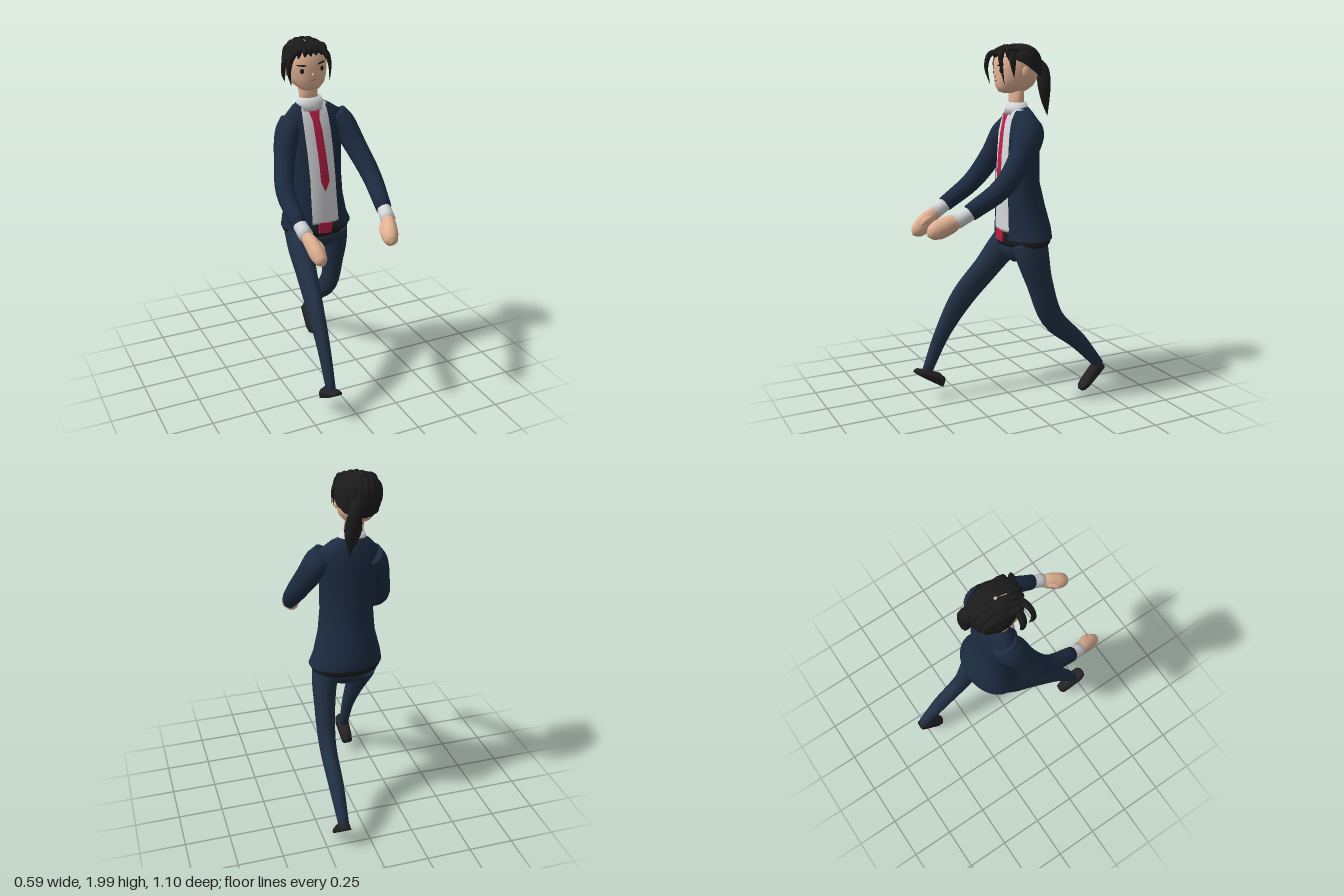
import * as THREE from 'three';

const V = (x, y, z) => new THREE.Vector3(x, y, z);
const paint = (name, color, side = THREE.FrontSide) => {
  const m = new THREE.MeshStandardMaterial({ color, side });
  m.name = name;
  return m;
};

// Skin a list of rings; closed rings also get end caps
function loft(rings, closed = true) {
  const n = rings[0].length, pos = [], idx = [];
  rings.forEach(r => r.forEach(p => pos.push(p.x, p.y, p.z)));
  for (let i = 0; i < rings.length - 1; i++) {
    for (let j = 0; j < (closed ? n : n - 1); j++) {
      const a = i * n + j, b = i * n + (j + 1) % n;
      idx.push(a, b, b + n, a, b + n, a + n);
    }
  }
  if (closed) {
    [0, rings.length - 1].forEach((k, end) => {
      const c = rings[k].reduce((s, p) => s.add(p), V(0, 0, 0)).divideScalar(n);
      const ci = pos.length / 3;
      pos.push(c.x, c.y, c.z);
      for (let j = 0; j < n; j++) {
        const a = k * n + j, b = k * n + (j + 1) % n;
        if (end) idx.push(a, b, ci); else idx.push(b, a, ci);
      }
    });
  }
  const g = new THREE.BufferGeometry();
  g.setAttribute('position', new THREE.Float32BufferAttribute(pos, 3));
  g.setIndex(idx);
  g.computeVertexNormals();
  return g;
}

// Horizontal ring from angle a0 to a1, angle 0 at the front; pw above 2 is boxier
function ring(y, cx, cz, hx, hz, n = 24, a0 = 0, a1 = Math.PI * 2, pw = 2) {
  const full = a1 - a0 > 6.28;
  return Array.from({ length: full ? n : n + 1 }, (_, i) => {
    const a = a0 + (a1 - a0) * i / n, s = Math.sin(a), c = Math.cos(a);
    const f = v => Math.sign(v) * Math.abs(v) ** (2 / pw);
    return V(cx + hx * f(s), y, cz + hz * f(c));
  });
}

// Smooth tapering limb through rows of [x, y, z, half width, half depth]
function limb(rows, n = 14) {
  const path = new THREE.CatmullRomCurve3(rows.map(r => V(r[0], r[1], r[2])));
  const size = new THREE.CatmullRomCurve3(rows.map(r => V(r[3], r[4], 0)));
  const steps = (rows.length - 1) * 4, rings = [];
  for (let i = 0; i <= steps; i++) {
    const t = i / steps, c = path.getPoint(t), s = size.getPoint(t), T = path.getTangent(t);
    const A = V(1, 0, 0).addScaledVector(T, -T.x).normalize(), B = T.clone().cross(A);
    rings.push(Array.from({ length: n }, (_, j) => {
      const a = j / n * Math.PI * 2;
      return c.clone().addScaledVector(A, Math.cos(a) * s.x).addScaledVector(B, Math.sin(a) * s.y);
    }));
  }
  return loft(rings);
}

// Torso rows: y, centre x, centre z, half width, half depth, opening left x, right x
const TORSO = [
  [0.945, 0.02, -0.085, 0.205, 0.147, -0.06, 0.1],
  [1.0, 0.012, -0.085, 0.188, 0.148, -0.06, 0.1],
  [1.12, 0.01, -0.07, 0.158, 0.132, -0.065, 0.09],
  [1.25, 0.005, -0.055, 0.147, 0.116, -0.07, 0.08],
  [1.4, 0, -0.06, 0.155, 0.106, -0.08, 0.07],
  [1.52, 0, -0.067, 0.18, 0.094, -0.09, 0.06],
  [1.59, 0.003, -0.07, 0.165, 0.08, -0.092, 0.053],
  [1.635, -0.012, -0.07, 0.11, 0.064, -0.09, 0.05],
  [1.66, -0.02, -0.07, 0.07, 0.052, -0.08, 0.04],
];
function torsoAt(y) {
  let i = 0;
  while (i < TORSO.length - 2 && TORSO[i + 1][0] < y) i++;
  const a = TORSO[i], b = TORSO[i + 1], t = (y - a[0]) / (b[0] - a[0]);
  return a.map((v, k) => v + (b[k] - v) * t);
}
// Strip lying on the chest, from rows of [y, x0, x1]
function chestStrip(rows) {
  return loft(rows.map(([y, x0, x1]) => [x0, (x0 + x1) / 2, x1].map(x => {
    const [, cx, cz, hx, hz] = torsoAt(y);
    return V(x, y, cz + hz * Math.sqrt(1 - ((x - cx) / hx) ** 2) + 0.004);
  })), false);
}

export function createModel() {
  const jacketBlue = paint('jacket navy', 0x1d2c42, THREE.DoubleSide);
  const trouserBlue = paint('trouser navy', 0x223146);
  const shirtWhite = paint('shirt white', 0xd6d7d9);
  const tieRed = paint('tie red', 0xba1f46, THREE.DoubleSide);
  const skin = paint('skin', 0xe2b394);
  const hairBlack = paint('hair black', 0x1b1b1c, THREE.DoubleSide);
  const shoeBlack = paint('shoe black', 0x252325);
  const beltBlack = paint('belt black', 0x1a1b1d);
  const lipBrown = paint('lip brown', 0x9a6450);

  const model = new THREE.Group();
  const add = (name, geo, mat, parent = model) => {
    const m = new THREE.Mesh(geo, mat);
    m.name = name;
    parent.add(m);
    return m;
  };

  // Open jacket over a full shirt
  add('jacket', loft(TORSO.map(([y, cx, cz, hx, hz, l, r]) => {
    const a = x => Math.asin(THREE.MathUtils.clamp((x - cx) / hx, -1, 1));
    return ring(y, cx, cz, hx, hz, 30, a(r), a(l) + Math.PI * 2);
  }), false), jacketBlue);
  add('shirt', loft([0.985, ...TORSO.slice(1).map(r => r[0])].map(y => {
    const [, cx, cz, hx, hz] = torsoAt(y);
    return ring(y, cx, cz, hx * 0.97, hz * 0.97, 40);
  })), shirtWhite);
  add('collar', loft([ring(1.62, -0.02, -0.062, 0.085, 0.066), ring(1.655, -0.022, -0.065, 0.077, 0.058),
    ring(1.685, -0.025, -0.067, 0.065, 0.05)]), shirtWhite);
  add('tie', chestStrip([[1.18, 0.01, 0.014], [1.235, -0.015, 0.037], [1.32, -0.02, 0.028], [1.4, -0.027, 0.019],
    [1.52, -0.038, 0.007], [1.575, -0.042, -0.003], [1.59, -0.048, 0.0], [1.625, -0.058, 0.004]]), tieRed);

  // Belt, buckle and hips
  add('belt', loft([ring(0.905, 0.017, -0.082, 0.185, 0.13), ring(0.925, 0.018, -0.084, 0.196, 0.14),
    ring(0.985, 0.015, -0.085, 0.185, 0.14)]), beltBlack);
  const buckle = add('buckle', new THREE.BoxGeometry(0.075, 0.06, 0.009), tieRed);
  buckle.position.set(0.014, 0.96, 0.06);
  buckle.rotation.z = -0.1;
  add('hips', loft([ring(0.8, 0.015, -0.06, 0.03, 0.04), ring(0.825, 0.015, -0.065, 0.09, 0.08),
    ring(0.87, 0.015, -0.07, 0.16, 0.11), ring(0.93, 0.017, -0.082, 0.187, 0.132)]), trouserBlue);

  // Striding legs
  add('rightLeg', limb([[-0.085, 0.91, -0.06, 0.09, 0.1], [-0.108, 0.84, 0.0, 0.072, 0.088], [-0.118, 0.745, 0.08, 0.057, 0.078],
    [-0.13, 0.585, 0.225, 0.045, 0.071], [-0.132, 0.39, 0.35, 0.035, 0.047], [-0.133, 0.17, 0.45, 0.026, 0.03]]), trouserBlue);
  add('leftLeg', limb([[0.115, 0.92, -0.075, 0.088, 0.105], [0.138, 0.84, -0.085, 0.07, 0.096], [0.15, 0.7, -0.12, 0.058, 0.077],
    [0.158, 0.48, -0.2, 0.047, 0.066], [0.158, 0.32, -0.37, 0.042, 0.05], [0.158, 0.155, -0.515, 0.03, 0.03]]), trouserBlue);

  // Shoes: soft uppers on thin soles, toe along local +z
  const shoe = (name, x, y, z, pitch) => {
    const g = new THREE.Group();
    g.name = name;
    const steps = [[-0.1, 0.018, 0.02], [-0.09, 0.03, 0.045], [-0.05, 0.034, 0.055], [0, 0.037, 0.046],
      [0.05, 0.041, 0.033], [0.085, 0.033, 0.024], [0.1, 0.014, 0.014]];
    const section = (w, h, zz) => Array.from({ length: 14 }, (_, j) => {
      const a = j / 14 * Math.PI * 2;
      return V(w * Math.cos(a), Math.max(0, h * (0.35 + 0.65 * Math.sin(a))), zz);
    });
    add('upper', loft(steps.map(([zz, w, h]) => section(w, h, zz))), shoeBlack, g);
    const outline = new THREE.Shape(steps.map(s => new THREE.Vector2(s[1] + 0.002, s[0]))
      .concat(steps.slice().reverse().map(s => new THREE.Vector2(-s[1] - 0.002, s[0]))));
    const sole = new THREE.ExtrudeGeometry(outline, { depth: 0.01, bevelEnabled: false });
    add('sole', sole.rotateX(Math.PI / 2).translate(0, 0.005, 0), beltBlack, g);
    g.position.set(x, y, z);
    g.rotation.x = pitch;
    model.add(g);
  };
  shoe('rightShoe', -0.132, 0.132, 0.44, -0.58);
  shoe('leftShoe', 0.155, 0.08, -0.47, 0.71);

  // Arms reaching forward, with cuffs, hands and thumbs
  const arm = (side, sleeve, cuff, hand, thumb) => {
    add(side + 'Sleeve', limb(sleeve), jacketBlue);
    add(side + 'Cuff', limb(cuff), shirtWhite);
    add(side + 'Hand', limb(hand), skin);
    add(side + 'Thumb', limb(thumb, 8), skin);
  };
  arm('right',
    [[-0.12, 1.56, -0.085, 0.06, 0.07], [-0.155, 1.5, -0.06, 0.067, 0.085], [-0.2, 1.38, 0.0, 0.056, 0.068],
      [-0.242, 1.23, 0.105, 0.05, 0.056], [-0.238, 1.11, 0.28, 0.041, 0.045]],
    [[-0.24, 1.125, 0.25, 0.035, 0.038], [-0.228, 1.07, 0.345, 0.039, 0.04]],
    [[-0.228, 1.075, 0.33, 0.03, 0.032], [-0.218, 1.045, 0.38, 0.037, 0.045], [-0.207, 1.005, 0.43, 0.04, 0.05],
      [-0.2, 0.975, 0.47, 0.032, 0.038], [-0.197, 0.96, 0.488, 0.008, 0.01]],
    [[-0.2, 1.055, 0.37, 0.016, 0.018], [-0.182, 1.035, 0.42, 0.017, 0.018], [-0.176, 1.005, 0.46, 0.006, 0.006]]);
  arm('left',
    [[0.125, 1.575, -0.065, 0.06, 0.07], [0.162, 1.52, -0.045, 0.066, 0.085], [0.205, 1.41, 0.025, 0.058, 0.072],
      [0.243, 1.265, 0.155, 0.051, 0.058], [0.226, 1.145, 0.335, 0.041, 0.047]],
    [[0.23, 1.155, 0.31, 0.035, 0.038], [0.216, 1.105, 0.405, 0.039, 0.041]],
    [[0.216, 1.11, 0.39, 0.03, 0.032], [0.2, 1.09, 0.435, 0.04, 0.05], [0.18, 1.065, 0.485, 0.044, 0.053],
      [0.168, 1.045, 0.53, 0.034, 0.036], [0.164, 1.038, 0.548, 0.008, 0.01]],
    [[0.18, 1.1, 0.42, 0.016, 0.018], [0.152, 1.085, 0.455, 0.017, 0.018], [0.136, 1.06, 0.495, 0.006, 0.006]]);

  // Neck and head
  add('neck', loft([ring(1.64, -0.028, -0.066, 0.055, 0.04), ring(1.7, -0.031, -0.066, 0.052, 0.038),
    ring(1.8, -0.04, -0.07, 0.056, 0.045)]), skin);
  const head = new THREE.Group();
  head.name = 'head';
  head.position.set(-0.045, 1.86, -0.07);
  head.rotation.set(0, -0.1, 0.09);
  model.add(head);
  const HEAD = [[-0.127, 0.03, 0.04, 0.03], [-0.117, 0.055, 0.075, 0.025], [-0.09, 0.083, 0.104, 0.012],
    [-0.05, 0.1, 0.117, 0.002], [0, 0.107, 0.12, 0], [0.05, 0.106, 0.118, 0], [0.09, 0.09, 0.1, 0], [0.115, 0.05, 0.06, 0]];
  add('face', loft(HEAD.map(([y, hx, hz, cz]) => ring(y, 0, cz, hx, hz, 28, 0, Math.PI * 2, 2.3))), skin, head);

  // Thin facial features set on the face surface
  const feature = (name, x, y, w, h, mat, tilt = 0, depth = 0.004) => {
    const z = 0.119 * (1 - Math.abs(x / 0.106) ** 2.3) ** (1 / 2.3);
    const m = add(name, new THREE.SphereGeometry(1, 14, 10), mat, head);
    m.scale.set(w, h, depth);
    m.position.set(x, y, z);
    m.rotation.set(0, x * 8, tilt);
  };
  [-1, 1].forEach(s => {
    feature('eye', s * 0.054, -0.008, 0.011, 0.014, hairBlack);
    feature('eyebrow', s * 0.054, 0.022, 0.027, 0.005, hairBlack, s * 0.12);
    const ear = add('ear', new THREE.SphereGeometry(1, 10, 8), skin, head);
    ear.scale.set(0.01, 0.03, 0.02);
    ear.position.set(s * 0.107, -0.02, -0.015);
  });
  feature('nose', 0, -0.032, 0.007, 0.01, skin, 0, 0.01);
  feature('mouth', 0, -0.058, 0.017, 0.003, lipBrown);

  // Swept-back hair shell with strand ridges and a sloping hairline
  const pw = (v, e) => Math.sign(v) * Math.abs(v) ** e;
  const shell = [];
  for (let i = 0; i <= 14; i++) {
    shell.push(Array.from({ length: 72 }, (_, j) => {
      const u = j / 72 * Math.PI * 2;
      const phi = Math.max(0.03, (1.5 - 0.42 * Math.cos(u)) * (1 - i / 14));
      const s = pw(Math.sin(phi), 0.8), x = s * Math.sin(u);
      const k = 0.97 + 0.045 * Math.abs(Math.sin(x * 11 + 0.4));
      return V(0.12 * x * k, 0.136 * pw(Math.cos(phi), 0.8) * k, -0.013 + 0.135 * s * Math.cos(u) * k);
    }));
  }
  add('hair', loft(shell, false), hairBlack, head);

  // Loose locks around the face, then small tufts along the hairline
  [
    [[-0.04, 0.1, 0.09, 0.015, 0.015], [-0.1, 0.085, 0.115, 0.02, 0.015], [-0.128, 0.02, 0.125, 0.014, 0.012], [-0.12, -0.07, 0.11, 0.001, 0.001]],
    [[-0.08, 0.09, 0.06, 0.02, 0.02], [-0.128, 0.05, 0.065, 0.016, 0.02], [-0.142, -0.02, 0.06, 0.01, 0.012], [-0.135, -0.06, 0.055, 0.001, 0.001]],
    [[0.03, 0.1, 0.09, 0.015, 0.015], [0.075, 0.075, 0.115, 0.018, 0.014], [0.094, 0.02, 0.12, 0.011, 0.011], [0.092, -0.08, 0.105, 0.001, 0.001]],
    [[0.08, 0.08, 0.05, 0.02, 0.02], [0.112, 0.03, 0.06, 0.01, 0.018], [0.114, -0.05, 0.055, 0.001, 0.001]],
  ].forEach(rows => add('lock', limb(rows, 8), hairBlack, head));
  for (let i = -3; i <= 3; i++) {
    const x = i * 0.028, z = 0.108 - 0.004 * i * i;
    add('tuft', limb([[x * 1.1, 0.06 - 0.002 * i * i, z, 0.003, 0.003], [x, 0.095, z + 0.003, 0.016, 0.014],
      [x, 0.125 - 0.003 * i * i, z - 0.055, 0.014, 0.012]], 8), hairBlack, head);
  }

  // Ponytail of overlapping strands
  [
    [[-0.02, 1.9, -0.18, 0.03, 0.03], [0.0, 1.85, -0.215, 0.04, 0.034], [0.02, 1.76, -0.213, 0.036, 0.034], [0.032, 1.68, -0.215, 0.025, 0.02], [0.04, 1.61, -0.222, 0.001, 0.001]],
    [[0.0, 1.86, -0.2, 0.02, 0.02], [0.035, 1.76, -0.195, 0.022, 0.025], [0.05, 1.65, -0.205, 0.001, 0.001]],
    [[-0.01, 1.85, -0.2, 0.02, 0.02], [-0.006, 1.76, -0.215, 0.022, 0.025], [0.008, 1.66, -0.225, 0.001, 0.001]],
  ].forEach(rows => add('ponytail', limb(rows, 10), hairBlack));

  return model;
}
